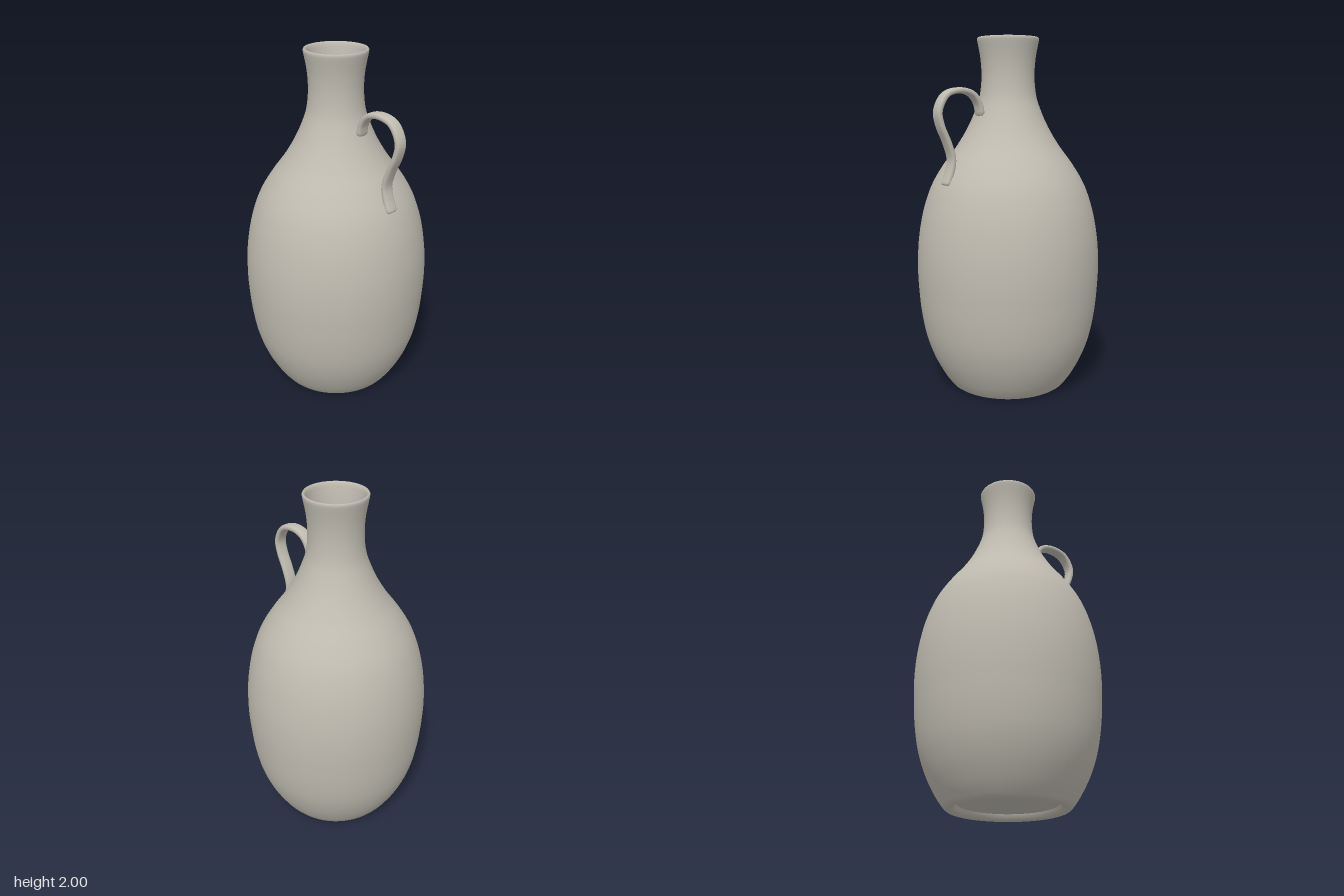
import * as THREE from 'three';

const v2 = (list) => list.map(([x, y]) => new THREE.Vector2(x, y));
const smooth = (list, n) => new THREE.SplineCurve(v2(list)).getPoints(n);

// Rounded flat band swept along a path in the xy plane, with softly closed ends
function bandGeometry(points, halfThick, halfWide, steps = 56, sides = 16) {
  const curve = new THREE.SplineCurve(v2(points));
  const rings = [[0, 0], [0, 0.75]];
  for (let i = 0; i <= steps; i++) rings.push([0.01 + 0.98 * i / steps, 1]);
  rings.push([1, 0.75], [1, 0]);
  const pos = [], idx = [];
  const round = (v) => Math.sign(v) * Math.pow(Math.abs(v), 0.65);
  rings.forEach(([t, s], i) => {
    const p = curve.getPointAt(t), d = curve.getTangentAt(t);
    for (let j = 0; j < sides; j++) {
      const a = (j / sides) * Math.PI * 2;
      const n = round(Math.cos(a)) * halfThick * s;
      pos.push(p.x - d.y * n, p.y + d.x * n, round(Math.sin(a)) * halfWide * s);
      if (i === rings.length - 1) continue;
      const k = (j + 1) % sides;
      const A = i * sides + j, B = i * sides + k, C = A + sides, D = B + sides;
      idx.push(A, B, D, A, D, C);
    }
  });
  const g = new THREE.BufferGeometry();
  g.setAttribute('position', new THREE.Float32BufferAttribute(pos, 3));
  g.setIndex(idx);
  g.computeVertexNormals();
  return g;
}

export function createModel() {
  const group = new THREE.Group();
  const clay = new THREE.MeshStandardMaterial({ color: 0xbfbbb0 });
  clay.name = 'warm grey clay';

  const add = (name, geometry) => {
    const mesh = new THREE.Mesh(geometry, clay);
    mesh.name = name;
    group.add(mesh);
  };

  // Foot ring, outer wall, rounded lip and the upper inner wall
  const outer = smooth([
    [0.34, 0.012], [0.385, 0.075], [0.44, 0.18], [0.482, 0.3], [0.507, 0.43], [0.52, 0.56],
    [0.526, 0.7], [0.519, 0.85], [0.495, 1.0], [0.46, 1.12], [0.42, 1.21], [0.36, 1.305],
    [0.29, 1.4], [0.23, 1.5], [0.185, 1.6], [0.16, 1.68], [0.15, 1.78], [0.155, 1.88], [0.173, 1.98],
  ], 72);
  const inner = smooth([
    [0.157, 1.99], [0.142, 1.9], [0.134, 1.78], [0.143, 1.68], [0.168, 1.59], [0.21, 1.5],
    [0.27, 1.39], [0.34, 1.29], [0.4, 1.2], [0.475, 1.0], [0.503, 0.7], [0.485, 0.43],
    [0.42, 0.19], [0.34, 0.06],
  ], 48);
  add('body', new THREE.LatheGeometry([
    ...v2([[0.272, 0.035], [0.278, 0.018], [0.29, 0.006], [0.308, 0], [0.326, 0.002]]),
    ...outer,
    ...v2([[0.174, 1.992], [0.17, 1.999], [0.164, 1.999]]),
    ...inner,
  ], 64));

  // Recessed underside and inside floor
  add('underside', new THREE.LatheGeometry(v2([[0, 0.035], [0.272, 0.035]]), 64));
  add('innerFloor', new THREE.LatheGeometry(v2([[0.34, 0.06], [0, 0.06]]), 64));

  // Curled strap handle on the model's left side
  add('handle', bandGeometry([
    [0.196, 1.57], [0.21, 1.635], [0.255, 1.688], [0.335, 1.705], [0.42, 1.68], [0.467, 1.6],
    [0.456, 1.52], [0.413, 1.425], [0.387, 1.34], [0.398, 1.27], [0.427, 1.195],
  ], 0.0165, 0.035));

  return group;
}
